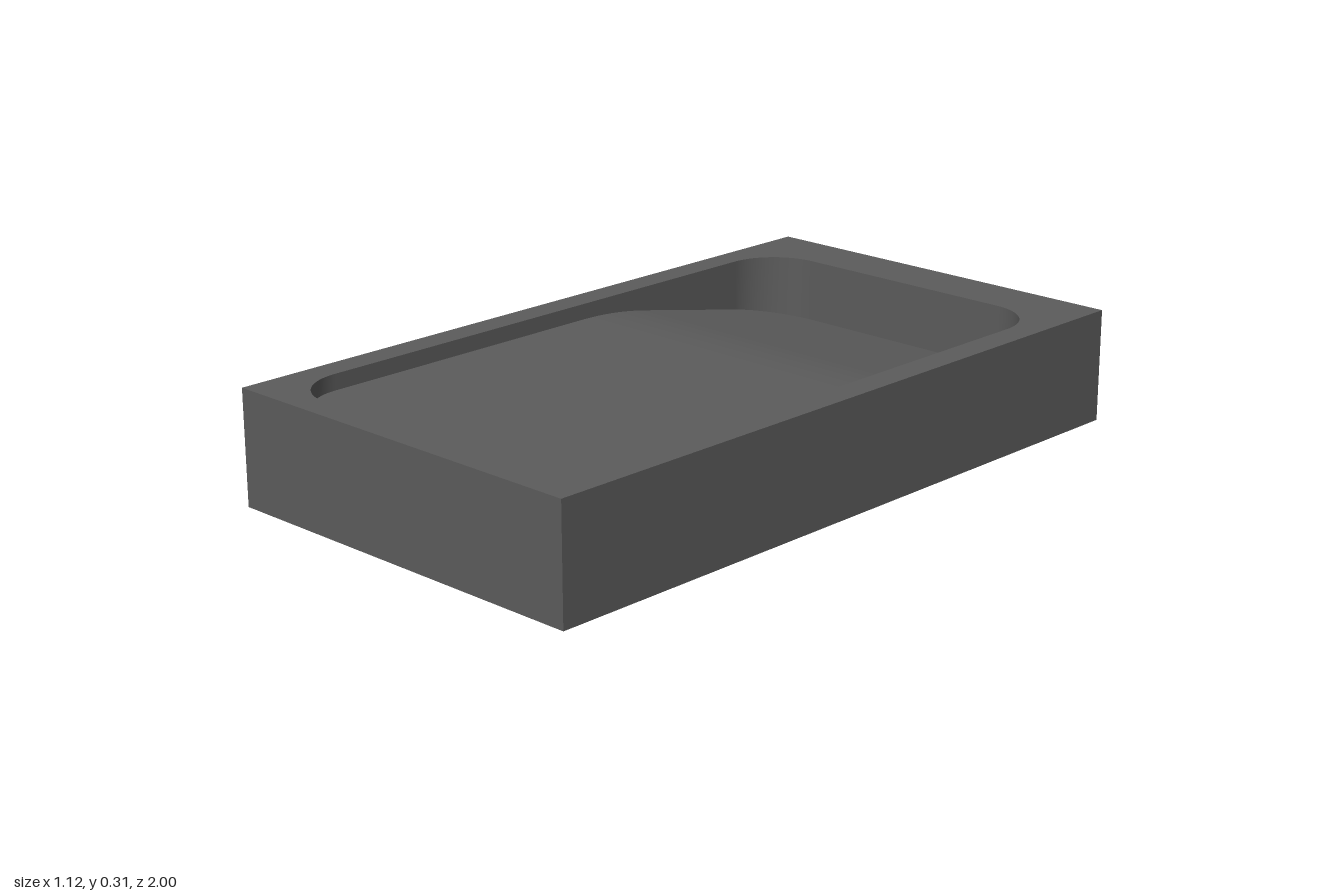
import * as THREE from 'three';

const W = 1.124, H = 0.31, L = 2;                       // block size
const HX = 0.485, ZB = -0.84, ZF = 0.93, R = 0.155;     // basin half width, back, front, corner radius
const BEND0 = -0.08, BEND1 = -0.32, SLOPE = 0.205, SHALLOW = 0.043;

// Floor height: level at the front, bending smoothly into a ramp down to the back
function floorY(z) {
  let drop = 0;
  if (z < BEND1) drop = SLOPE * ((BEND0 + BEND1) / 2 - z);
  else if (z < BEND0) drop = SLOPE * (BEND0 - z) ** 2 / (2 * (BEND0 - BEND1));
  return H - SHALLOW - drop;
}

// Left half of the rounded basin outline, from back to front, as [x, z]
function halfOutline() {
  const pts = [], arc = 14, bend = 12;
  for (let i = 0; i <= arc; i++) {
    const a = (i / arc) * Math.PI / 2;
    pts.push([HX - R + R * Math.sin(a), ZB + R - R * Math.cos(a)]);
  }
  for (let i = 0; i <= bend; i++) pts.push([HX, BEND1 + (BEND0 - BEND1) * i / bend]);
  for (let i = 0; i <= arc; i++) {
    const a = (i / arc) * Math.PI / 2;
    pts.push([HX - R + R * Math.cos(a), ZF - R + R * Math.sin(a)]);
  }
  return pts;
}

function surface(positions, index) {
  const g = new THREE.BufferGeometry();
  g.setAttribute('position', new THREE.Float32BufferAttribute(positions, 3));
  g.setIndex(index);
  g.computeVertexNormals();
  return g;
}

export function createModel() {
  const group = new THREE.Group();
  const stone = new THREE.MeshStandardMaterial({ color: 0x5c5c5c });
  stone.name = 'dark grey stone';
  const add = (name, geometry) => {
    const mesh = new THREE.Mesh(geometry, stone);
    mesh.name = name;
    group.add(mesh);
  };

  const half = halfOutline();
  const loop = [...half, ...half.map(([x, z]) => [-x, z]).reverse()];

  // Outer sides and underside: a box without its top face
  const box = new THREE.BoxGeometry(W, H, L).translate(0, H / 2, 0);
  const top = box.groups[2];
  box.setIndex([...box.index.array].filter((_, i) => i < top.start || i >= top.start + top.count));
  box.clearGroups();
  add('block', box);

  // Flat rim around the basin
  const rim = new THREE.Shape([[-1, -1], [1, -1], [1, 1], [-1, 1]]
    .map(([x, y]) => new THREE.Vector2(x * W / 2, y * L / 2)));
  rim.holes.push(new THREE.Path(loop.map(([x, z]) => new THREE.Vector2(x, -z))));
  add('rim', new THREE.ShapeGeometry(rim).rotateX(-Math.PI / 2).translate(0, H, 0));

  // Basin wall, from the rim down to the floor
  const wallPos = [], wallIdx = [], n = loop.length;
  loop.forEach(([x, z], i) => {
    wallPos.push(x, floorY(z), z, x, H, z);
    const a = 2 * i, b = 2 * ((i + 1) % n);
    wallIdx.push(a, b, b + 1, a, b + 1, a + 1);
  });
  add('basinWall', surface(wallPos, wallIdx));

  // Basin floor, strips across the width
  const floorPos = [], floorIdx = [];
  half.forEach(([x, z], i) => {
    floorPos.push(-x, floorY(z), z, x, floorY(z), z);
    const a = 2 * i;
    if (i < half.length - 1) floorIdx.push(a, a + 2, a + 3, a, a + 3, a + 1);
  });
  add('basinFloor', surface(floorPos, floorIdx));

  return group;
}
